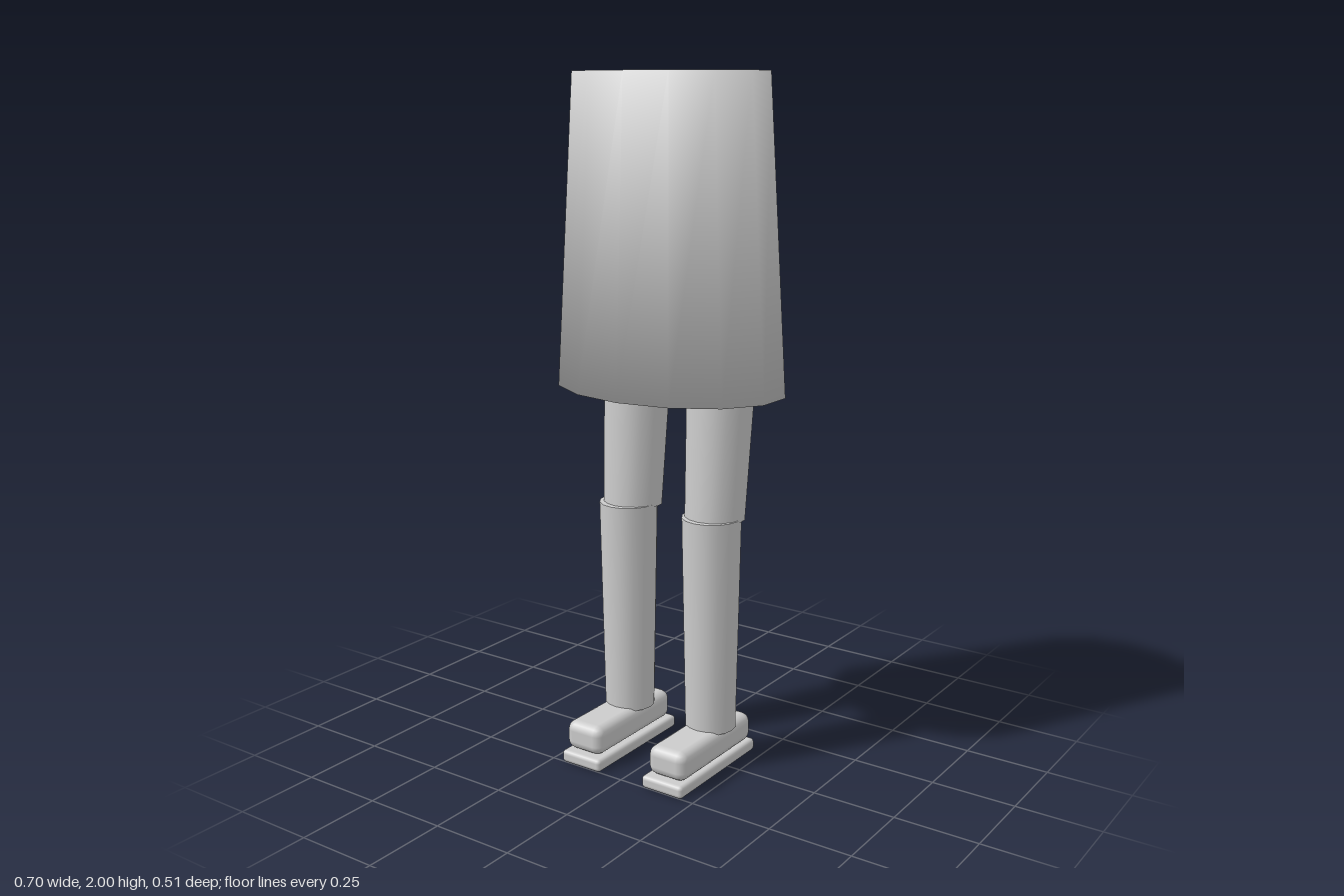
import * as THREE from 'three';
import { RoundedBoxGeometry } from 'three/addons/geometries/RoundedBoxGeometry.js';

const grey = new THREE.MeshStandardMaterial({ color: 0xcccccc });
grey.name = 'light grey';

function add(parent, name, geometry, x = 0, y = 0, z = 0) {
  const mesh = new THREE.Mesh(geometry, grey);
  mesh.name = name;
  mesh.position.set(x, y, z);
  parent.add(mesh);
  return mesh;
}

// Closed oval drum, shaded smoothly over its rims as one soft form
function skirtGeometry() {
  const height = 0.88;
  const geo = new THREE.CylinderGeometry(1, 1, height, 14);
  const p = geo.attributes.position, n = geo.attributes.normal;
  const v = new THREE.Vector3();
  for (let i = 0; i < p.count; i++) {
    const top = p.getY(i) > 0;
    const rx = top ? 0.3 : 0.357, rz = top ? 0.217 : 0.257;
    const x = p.getX(i), z = p.getZ(i);
    p.setXYZ(i, x * rx, p.getY(i), z * rz);
    const centre = Math.hypot(x, z) < 0.01;
    v.set(x / rx, 0, z / rz).normalize();
    if (centre) v.set(0, 0, 0);
    v.y = top ? 0.86 : -0.86;
    v.normalize();
    n.setXYZ(i, v.x, v.y, v.z);
  }
  return geo;
}

// Tapered limb between two centre points in the y-z plane
function limb(parent, name, x, [y0, z0, r0], [y1, z1, r1]) {
  const length = Math.hypot(y1 - y0, z1 - z0);
  const mesh = add(parent, name, new THREE.CylinderGeometry(r1, r0, length, 16),
    x, (y0 + y1) / 2, (z0 + z1) / 2);
  mesh.rotation.x = Math.atan2(z1 - z0, y1 - y0);
}

export function createModel() {
  const model = new THREE.Group();
  model.name = 'skirtAndLegs';
  add(model, 'skirt', skirtGeometry(), 0, 1.56, 0);

  for (const [side, s] of [['left', 1], ['right', -1]]) {
    const leg = new THREE.Group();
    leg.name = side + 'Leg';
    model.add(leg);
    limb(leg, side + 'Thigh', s * 0.145, [0.753, -0.016, 0.088], [1.2, -0.047, 0.1]);
    limb(leg, side + 'Shin', s * 0.147, [0.118, 0.002, 0.075], [0.76, 0.003, 0.087]);
    // Shoe: rounded upper on a thin, slightly larger sole
    add(leg, side + 'Shoe', new RoundedBoxGeometry(0.128, 0.088, 0.37, 2, 0.028), s * 0.148, 0.083, 0.056);
    add(leg, side + 'Sole', new RoundedBoxGeometry(0.14, 0.038, 0.398, 2, 0.012), s * 0.145, 0.019, 0.057);
  }
  return model;
}
